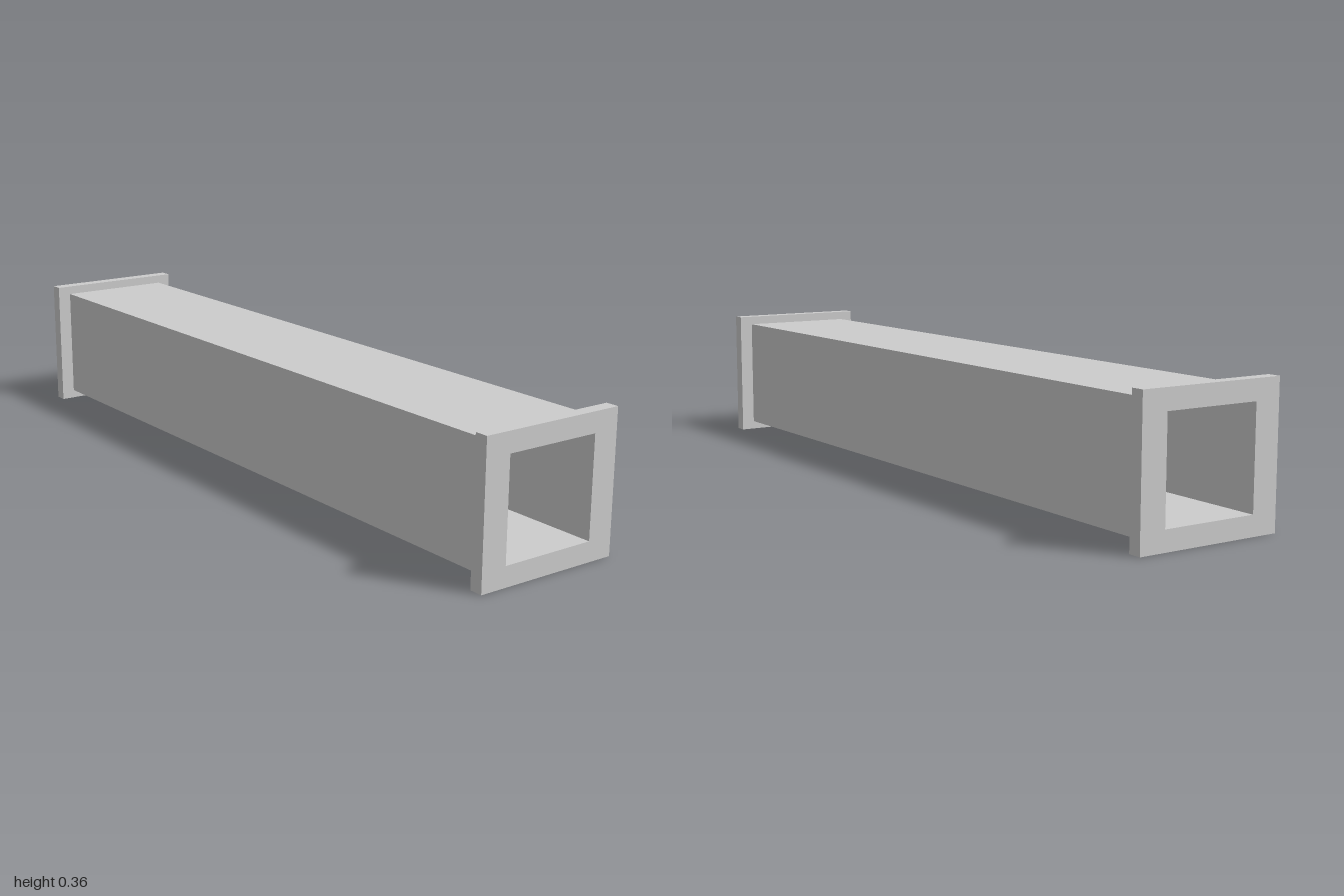
import * as THREE from 'three';

const MID_Y = 0.181;                       // height of the duct axis
const OUT = { w: 0.162, h: 0.157 };        // half sizes of the duct outside
const INN = { w: 0.13, h: 0.129 };         // half sizes of the bore
const RIM = { w: 0.2, h: 0.181 };          // half sizes of the flanges
const RIM_T = 0.035;
const LEN = 2 - 2 * RIM_T;                 // duct length between flanges
const SLOT = { w: 0.096, l: 0.255 };       // half sizes of the underside recess

const corners = (w, h) => [[-w, -h], [w, -h], [w, h], [-w, h]].map(([x, y]) => new THREE.Vector2(x, y));

function frame(outer, inner, depth) {
  const shape = new THREE.Shape(corners(...outer));
  if (inner) shape.holes.push(new THREE.Path(corners(...inner)));
  return new THREE.ExtrudeGeometry(shape, { depth, bevelEnabled: false });
}

export function createModel() {
  const group = new THREE.Group();
  const grey = new THREE.MeshStandardMaterial({ color: 0xcccccc, flatShading: true });
  const greyDouble = new THREE.MeshStandardMaterial({ color: 0xcccccc, flatShading: true, side: THREE.DoubleSide });
  const add = (name, geometry, material = grey) => {
    const mesh = new THREE.Mesh(geometry, material);
    mesh.name = name;
    group.add(mesh);
    return mesh;
  };

  // End flanges with a rectangular opening
  for (const [name, z] of [['frontFlange', 1 - RIM_T], ['backFlange', -1]]) {
    add(name, frame([RIM.w, RIM.h], [INN.w, INN.h], RIM_T)).position.set(0, MID_Y, z);
  }

  // Roof and side walls, mitred so they meet exactly at the corners
  const o = corners(OUT.w, OUT.h), i = corners(INN.w, INN.h);
  ['rightwardWall', 'roof', 'leftwardWall'].forEach((name, k) => {
    const a = k + 1, b = (k + 2) % 4;
    const shape = new THREE.Shape([o[a], o[b], i[b], i[a]]);
    const wall = new THREE.ExtrudeGeometry(shape, { depth: LEN, bevelEnabled: false });
    add(['leftWall', 'roof', 'rightWall'][k], wall).position.set(0, MID_Y, -LEN / 2);
  });

  // Floor slab with the cut-out, its upper edges drawn in to form the mitres
  const thick = OUT.h - INN.h;
  const slab = frame([OUT.w, LEN / 2], [SLOT.w, SLOT.l], thick).rotateX(-Math.PI / 2);
  const p = slab.attributes.position;
  for (let k = 0; k < p.count; k++) {
    if (p.getY(k) > thick / 2 && Math.abs(p.getX(k)) > 0.15) p.setX(k, Math.sign(p.getX(k)) * INN.w);
  }
  slab.computeVertexNormals();
  add('floor', slab).position.y = MID_Y - OUT.h;

  // Thin sheet closing the cut-out level with the inside of the floor
  const sheet = new THREE.PlaneGeometry(2 * SLOT.w, 2 * SLOT.l).rotateX(-Math.PI / 2);
  add('recessPanel', sheet, greyDouble).position.y = MID_Y - INN.h;

  return group;
}
